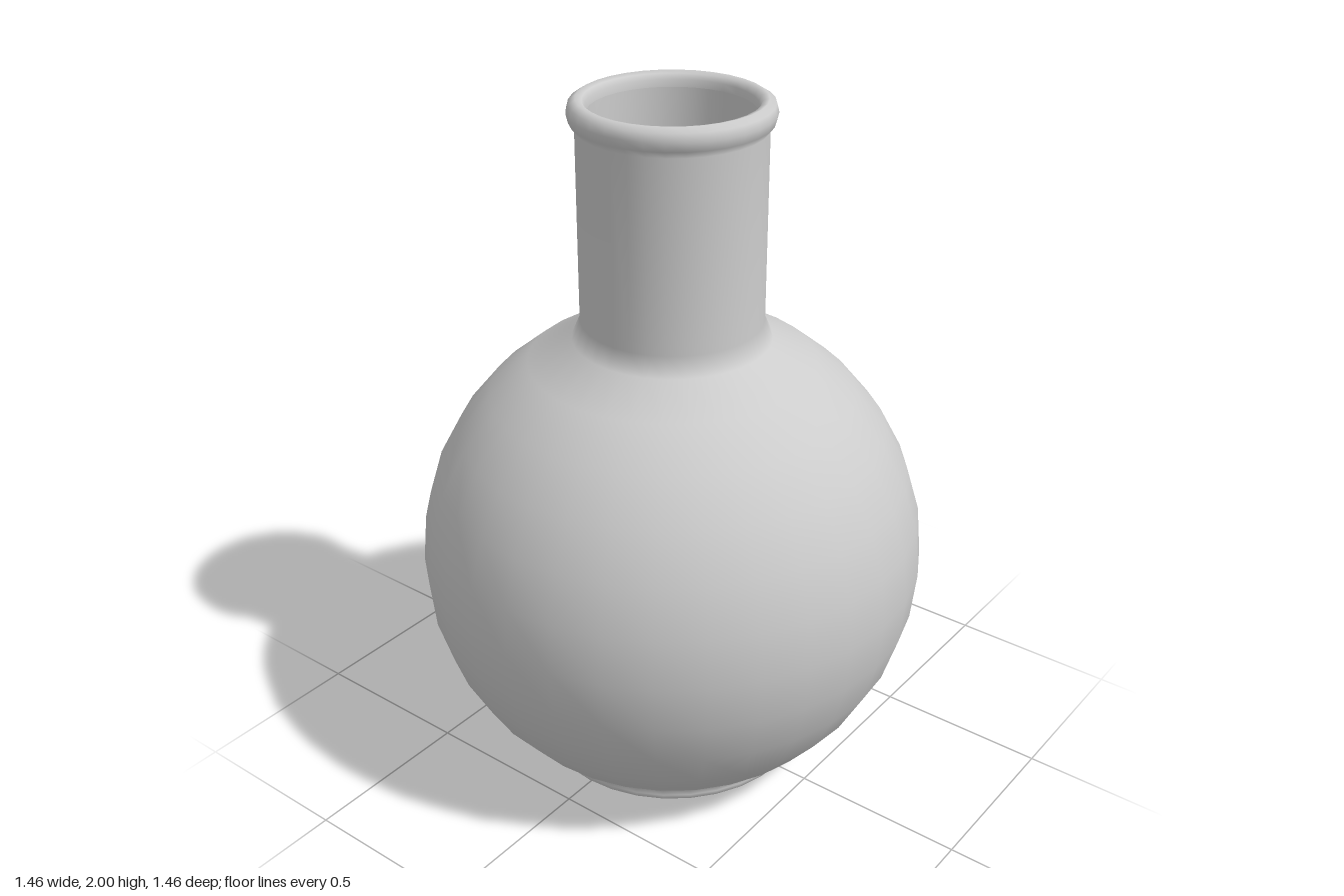
import * as THREE from 'three';

const SIDES = 32;
const CENTRE_Y = 0.65;
const STEP = Math.PI / 16;

export function createModel() {
  const group = new THREE.Group();
  group.name = 'flask';
  const glaze = new THREE.MeshStandardMaterial({ color: 0xcccccc });
  glaze.name = 'light grey';

  const addLathe = (name, points) => {
    const profile = points.map(([x, y]) => new THREE.Vector2(x, y));
    const mesh = new THREE.Mesh(new THREE.LatheGeometry(profile, SIDES), glaze);
    mesh.name = name;
    group.add(mesh);
  };

  // Arc of the round belly, from step a to step b
  const arc = (radius, a, b) => {
    const points = [];
    const dir = Math.sign(b - a);
    for (let i = a; i !== b + dir; i += dir) {
      points.push([radius * Math.cos(i * STEP), CENTRE_Y + radius * Math.sin(i * STEP)]);
    }
    return points;
  };

  // Flat underside
  addLathe('base', [[0, 0], [0.395, 0]]);

  // Foot, belly, neck and rolled lip in one smooth outer wall
  addLathe('outerWall', [
    [0.395, 0], [0.405, 0.008], [0.41, 0.025],
    ...arc(0.73, -5, 6),
    [0.256, 1.38], [0.256, 1.92],
    [0.271, 1.94], [0.277, 1.965], [0.271, 1.988], [0.252, 2],
    [0.235, 1.995], [0.227, 1.98], [0.225, 1.96],
  ]);

  // Inside of the neck and belly
  addLathe('innerWall', [
    [0.225, 1.96], [0.225, 1.36],
    ...arc(0.7, 6, -5),
    [0.37, 0.03],
  ]);

  // Inside floor
  addLathe('innerFloor', [[0.37, 0.03], [0, 0.03]]);

  return group;
}
